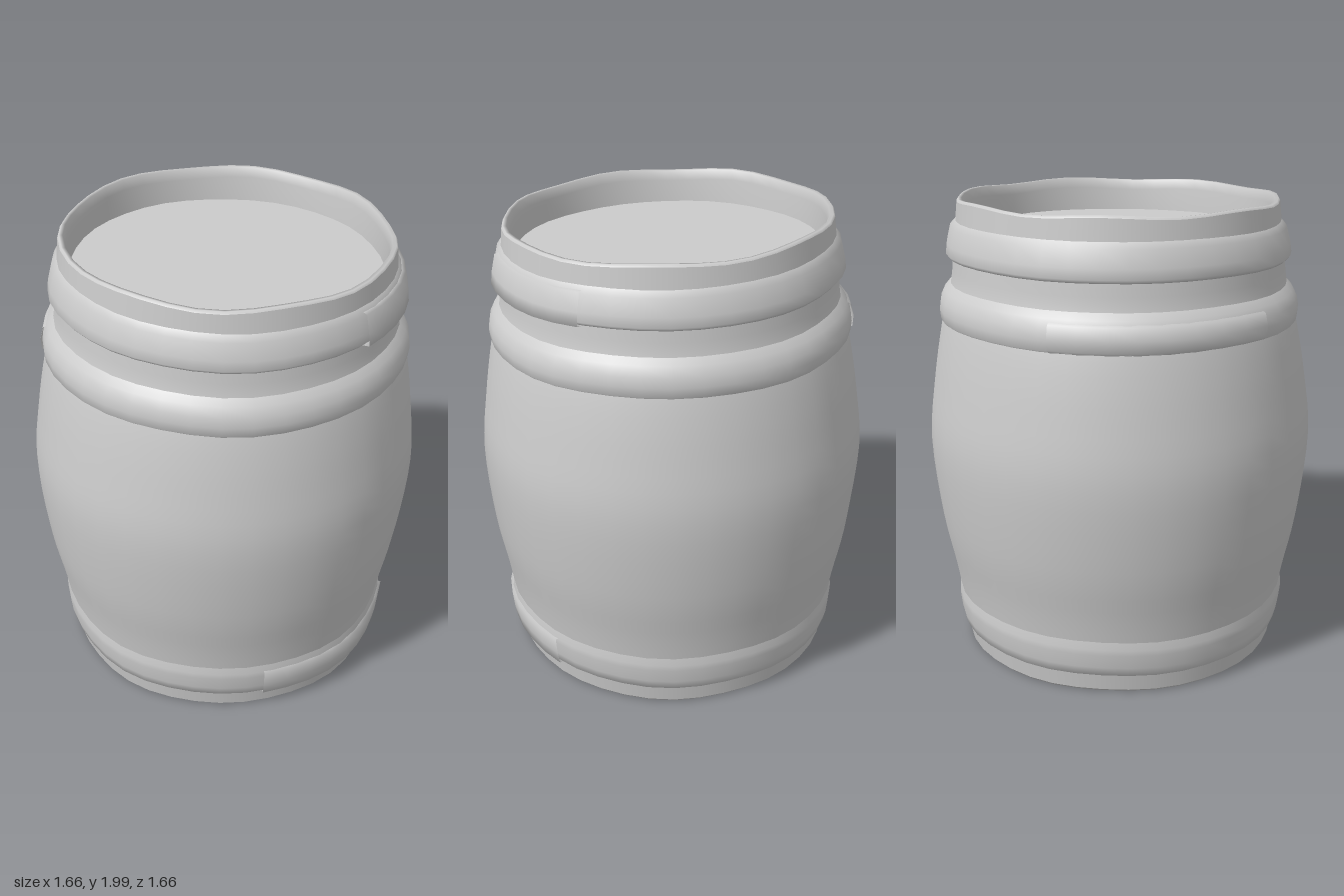
import * as THREE from 'three';

const SEGMENTS = 40;

// Hand-worn look: the barrel leans slightly, its top slopes and its edges wobble
function weather(geometry) {
  const p = geometry.attributes.position;
  for (let i = 0; i < p.count; i++) {
    const x = p.getX(i), y = p.getY(i), z = p.getZ(i);
    const a = Math.atan2(x, z), r = Math.hypot(x, z);
    const k = r > 0.05 ? 1 + 0.005 * Math.sin(5 * a + 2 * y) + 0.003 * Math.sin(9 * a) : 1;
    const top = Math.max(0, (y - 1) / 0.97);
    const edge = y > 1.9 ? 0.006 * Math.sin(7 * a) : 0;
    p.setXYZ(i, x * k + 0.022 * top, y - 0.022 * top * x / 0.7 + edge, z * k - 0.006 * top);
  }
  return geometry;
}

// Turned part; optional start and sweep angles in degrees make a partial band
function turned(name, points, start = 0, sweep = 360) {
  const segments = Math.max(6, Math.round(SEGMENTS * sweep / 360));
  const geometry = new THREE.LatheGeometry(
    points.map(([r, y]) => new THREE.Vector2(r, y)), segments,
    THREE.MathUtils.degToRad(start), THREE.MathUtils.degToRad(sweep));
  const mesh = new THREE.Mesh(weather(geometry), new THREE.MeshStandardMaterial({
    color: 0xcccccc, side: THREE.DoubleSide,
  }));
  mesh.name = name;
  return mesh;
}

export function createModel() {
  const barrel = new THREE.Group();
  barrel.name = 'barrel';

  // Bulging wall of staves
  const bulge = new THREE.SplineCurve([
    [0.7, 0.02], [0.72, 0.15], [0.752, 0.35], [0.8, 0.6], [0.832, 0.95],
    [0.805, 1.22], [0.765, 1.45], [0.72, 1.62], [0.705, 1.75], [0.682, 1.965],
  ].map(([r, y]) => new THREE.Vector2(r, y)));
  barrel.add(turned('staves', bulge.getPoints(36).map(v => [v.x, v.y])));

  // Raised rims, each with a wall going in to a recessed head
  barrel.add(turned('topRim', [[0.682, 1.965], [0.675, 1.975], [0.66, 1.973], [0.652, 1.93], [0.645, 1.83]]));
  barrel.add(turned('topHead', [[0.65, 1.83], [0.4, 1.83], [0, 1.83]]));
  barrel.add(turned('bottomRim', [[0.645, 0.14], [0.66, 0.06], [0.675, 0.01], [0.69, 0.01], [0.7, 0.02]]));
  barrel.add(turned('bottomHead', [[0, 0.14], [0.4, 0.14], [0.65, 0.14]]));

  // Hoops
  barrel.add(turned('topHoop', [
    [0.69, 1.73], [0.722, 1.735], [0.735, 1.75], [0.73, 1.79], [0.713, 1.86], [0.69, 1.885]]));
  barrel.add(turned('shoulderHoop', [
    [0.75, 1.465], [0.766, 1.48], [0.77, 1.52], [0.764, 1.56], [0.745, 1.6], [0.715, 1.63]]));
  barrel.add(turned('bottomHoop', [
    [0.7, 0.09], [0.725, 0.1], [0.735, 0.14], [0.742, 0.2], [0.742, 0.225], [0.735, 0.27]]));

  // Overlapping hoop ends
  barrel.add(turned('topHoopEnd', [
    [0.7, 1.725], [0.745, 1.735], [0.738, 1.79], [0.72, 1.865], [0.7, 1.87]], 93, 50));
  barrel.add(turned('shoulderHoopEnd', [
    [0.755, 1.47], [0.774, 1.485], [0.777, 1.53], [0.764, 1.58], [0.72, 1.6]], 255, 70));
  barrel.add(turned('bottomHoopEnd', [
    [0.7, 0.09], [0.735, 0.095], [0.745, 0.15], [0.753, 0.225], [0.72, 0.23]], 60, 68));

  return barrel;
}
